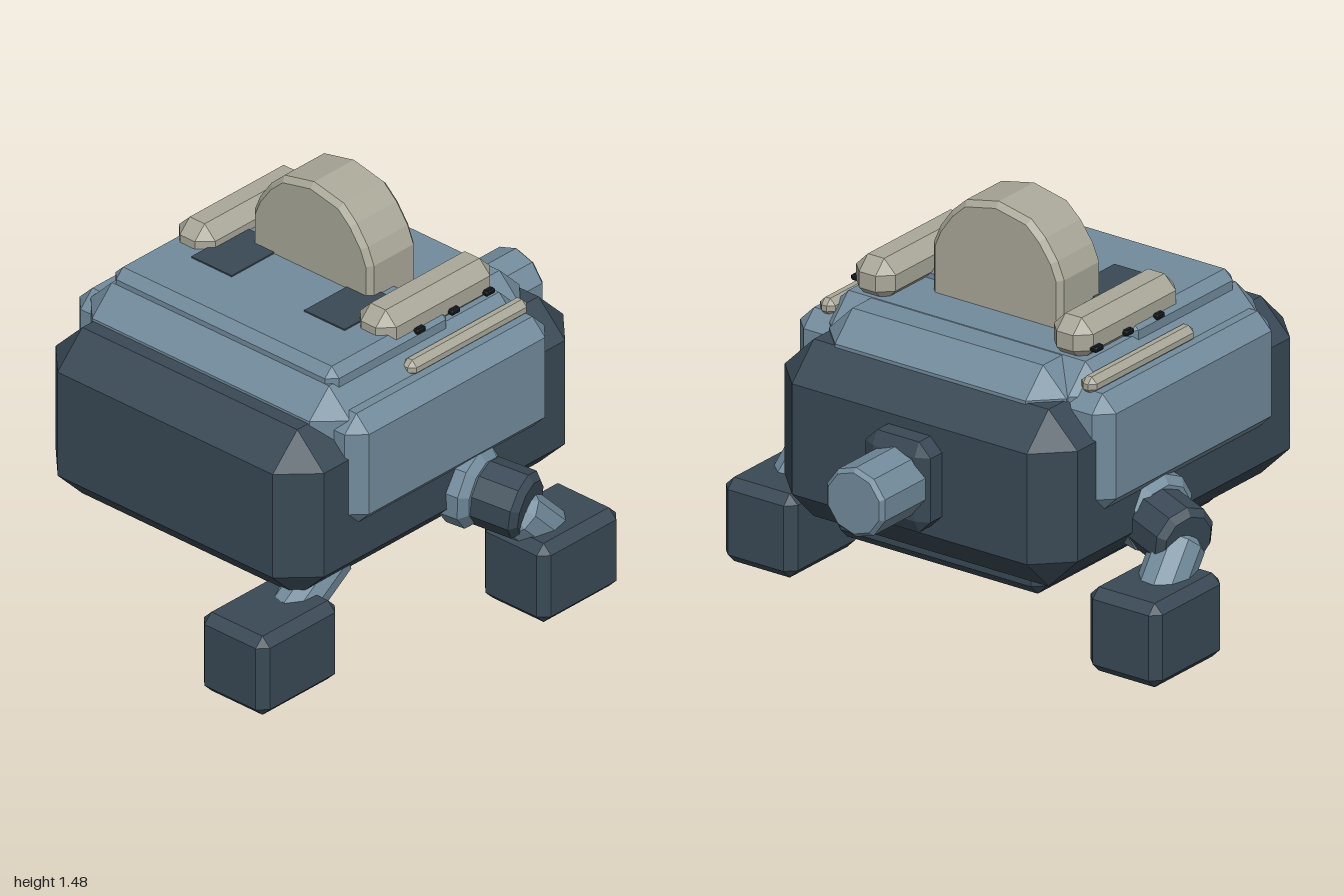
import * as THREE from 'three';
import { ConvexGeometry } from 'three/addons/geometries/ConvexGeometry.js';

const material = (name, color) => {
  const m = new THREE.MeshStandardMaterial({ color });
  m.name = name;
  m.flatShading = true;
  return m;
};

// Box given by its limits, with every edge and corner cut off by c
function chamferBox([x0, x1], [y0, y1], [z0, z1], c) {
  const half = [(x1 - x0) / 2, (y1 - y0) / 2, (z1 - z0) / 2];
  const pts = [];
  for (const sx of [-1, 1]) for (const sy of [-1, 1]) for (const sz of [-1, 1]) {
    for (let full = 0; full < 3; full++) {
      const h = half.map((v, i) => (i === full ? v : v - c));
      pts.push(new THREE.Vector3(sx * h[0], sy * h[1], sz * h[2]));
    }
  }
  return new ConvexGeometry(pts).translate((x0 + x1) / 2, (y0 + y1) / 2, (z0 + z1) / 2);
}

// Faceted rod between two points with bevelled ends
function rod(a, b, r, bevel = 0.025, sides = 10) {
  const from = new THREE.Vector3(...a), to = new THREE.Vector3(...b);
  const dir = to.clone().sub(from), len = dir.length();
  const profile = [[0, 0], [r - bevel, 0], [r, bevel], [r, len - bevel], [r - bevel, len], [0, len]];
  const g = new THREE.LatheGeometry(profile.map(p => new THREE.Vector2(...p)), sides);
  const q = new THREE.Quaternion().setFromUnitVectors(new THREE.Vector3(0, 1, 0), dir.normalize());
  return g.applyQuaternion(q).translate(...a);
}

export function createModel() {
  const root = new THREE.Group();
  root.name = 'walker';
  const blue = material('steelBlue', 0x728b9c);
  const dark = material('darkSlate', 0x394955);
  const beige = material('warmGrey', 0xaaa899);
  const black = material('black', 0x14181c);

  const add = (name, geometry, mat) => {
    const mesh = new THREE.Mesh(geometry, mat);
    mesh.name = name;
    root.add(mesh);
    return mesh;
  };

  // Hull, belly and upper shell
  add('hull', chamferBox([-0.63, 0.63], [0.3, 0.965], [-0.68, 0.79], 0.125), dark);
  add('bellyPlate', chamferBox([-0.45, 0.45], [0.225, 0.36], [-0.53, 0.53], 0.04), dark);
  add('shell', chamferBox([-0.61, 0.61], [0.6, 1.075], [-0.45, 0.61], 0.1), blue);
  add('rearDeck', chamferBox([-0.51, 0.51], [0.75, 1.073], [-0.56, 0.2], 0.1), blue);
  add('topPlate', chamferBox([-0.525, 0.525], [1.0, 1.13], [-0.1, 0.51], 0.035), blue);
  add('sidePanels', chamferBox([-0.68, 0.68], [0.56, 1.0], [-0.46, 0.55], 0.06), blue);

  // Arched dorsal fin
  const half = [[0.26, 1.05], [0.26, 1.25], [0.235, 1.31], [0.185, 1.38], [0.13, 1.43]];
  const outline = [...half, [0, 1.458], ...half.map(([x, y]) => [-x, y]).reverse()];
  const fin = new THREE.ExtrudeGeometry(new THREE.Shape(outline.map(p => new THREE.Vector2(...p))), {
    depth: 0.2, bevelSize: 0.02, bevelThickness: 0.02, bevelSegments: 1,
  });
  add('dorsalFin', fin.translate(0, 0, -0.165), beige);

  // Tail mount and tail
  add('tailMount', chamferBox([-0.14, 0.14], [0.46, 0.8], [-0.85, -0.6], 0.05)
    .scale(1, 1, 0.5).translate(0, 0, -0.345), dark);
  add('tail', rod([0, 0.635, -0.7], [0, 0.635, -1], 0.13, 0.015), blue);

  for (const s of [-1, 1]) {
    const side = s > 0 ? 'left' : 'right';
    const span = (a, b) => (s > 0 ? [a, b] : [-b, -a]);

    // Top pods, rails, studs and pads
    add(side + 'Pod', chamferBox(span(0.34, 0.51), [1.05, 1.21], [-0.355, 0.22], 0.05), beige);
    add(side + 'Rail', chamferBox(span(0.53, 0.595), [0.985, 1.05], [-0.42, 0.18], 0.022), beige);
    for (const z of [0.06, -0.115, -0.29]) {
      add(side + 'Stud', chamferBox(span(0.49, 0.53), [1.095, 1.117], [z - 0.023, z + 0.023], 0.006), black);
    }
    const pad = new THREE.BoxGeometry(0.19, 0.009, 0.27);
    add(side + 'Pad', pad.translate(s * 0.265, 1.131, 0.135), dark);

    // Rear leg: hip, upper joint, shin and foot
    add(side + 'Hip', rod([s * 0.54, 0.46, -0.08], [s * 0.67, 0.45, -0.11], 0.15, 0.03), blue);
    add(side + 'UpperJoint', rod([s * 0.61, 0.445, -0.11], [s * 0.82, 0.415, -0.175], 0.125), dark);
    add(side + 'Shin', rod([s * 0.765, 0.41, -0.14], [s * 0.79, 0.22, -0.32], 0.095), blue);
    add(side + 'RearFoot', chamferBox(span(0.63, 0.94), [0, 0.315], [-0.515, -0.115], 0.035), dark);
  }

  // Single front leg
  add('frontShin', rod([0.47, 0.37, 0.44], [0.51, 0.23, 0.74], 0.085), blue);
  add('frontFoot', chamferBox([0.345, 0.655], [0, 0.315], [0.6, 1], 0.035), dark);

  return root;
}
